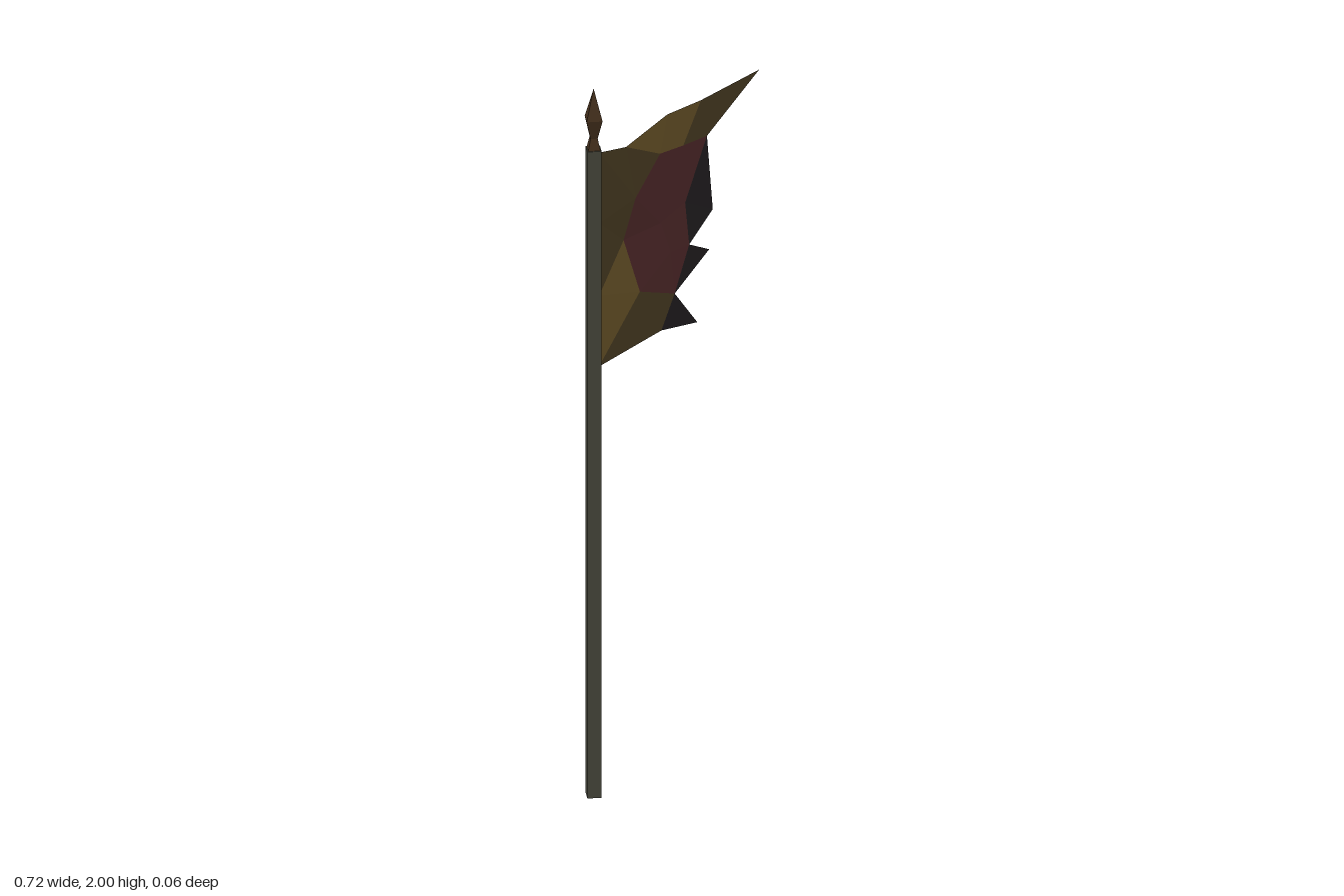
import * as THREE from 'three';

const POLE_X = -0.333;

function material(color, side = THREE.FrontSide) {
  const m = new THREE.MeshStandardMaterial({ color, side });
  m.flatShading = true;
  return m;
}

// Cloth corner points: torn outline first, then the inner creases
const POINTS = [
  [-0.31, 1.81, 0], [-0.19, 1.78, -0.006], [-0.02, 1.81, -0.004], [0.135, 1.79, -0.015],
  [0.357, 1.80, 0.002], [0.16, 1.68, -0.015], [0.165, 1.475, 0], [0.06, 1.415, 0.005],
  [0.145, 1.37, 0.004], [-0.02, 1.31, 0.02], [0.09, 1.185, 0.008], [-0.065, 1.22, 0.012],
  [-0.31, 1.205, 0], [-0.31, 1.405, 0], [-0.31, 1.61, 0],
  [-0.165, 1.63, 0.006], [-0.05, 1.71, -0.004], [0.06, 1.69, -0.014], [-0.2, 1.52, -0.006],
  [-0.06, 1.52, 0.006], [0.06, 1.53, -0.008], [-0.15, 1.36, 0.008], [-0.03, 1.43, 0.014],
];

// Facets of the cloth, grouped by colour
const PATCHES = [
  { name: 'goldCloth', color: 0x78602f,
    faces: [[1, 16, 2], [2, 16, 17], [2, 17, 3], [13, 21, 18], [13, 12, 21]] },
  { name: 'oliveCloth', color: 0x544528,
    faces: [[0, 14, 15], [0, 15, 1], [1, 15, 16], [3, 17, 5], [3, 5, 4], [14, 18, 15],
      [14, 13, 18], [12, 11, 21], [21, 11, 9]] },
  { name: 'maroonCloth', color: 0x5a2f30,
    faces: [[15, 18, 19], [15, 19, 16], [16, 19, 20], [16, 20, 17], [18, 21, 19], [21, 22, 19],
      [21, 9, 22], [19, 22, 20], [22, 7, 20], [9, 7, 22], [17, 20, 5]] },
  { name: 'charredCloth', color: 0x272325,
    faces: [[11, 10, 9], [9, 8, 7], [20, 7, 6], [20, 6, 5]] },
];

function patchGeometry(faces) {
  const g = new THREE.BufferGeometry();
  const positions = faces.flat().flatMap((i) => POINTS[i]);
  g.setAttribute('position', new THREE.Float32BufferAttribute(positions, 3));
  g.computeVertexNormals();
  return g;
}

export function createModel() {
  const group = new THREE.Group();

  // Square pole turned corner-forward
  const pole = new THREE.Mesh(new THREE.CylinderGeometry(0.026, 0.026, 1.83, 4), material(0x45453a));
  pole.name = 'pole';
  pole.position.set(POLE_X, 0.915, 0);
  group.add(pole);

  // Four-sided spear tip
  const profile = [[0.024, 1.825], [0.013, 1.862], [0.029, 1.915], [0, 2]]
    .map(([r, y]) => new THREE.Vector2(r, y));
  const finial = new THREE.Mesh(new THREE.LatheGeometry(profile, 4), material(0x432f1c));
  finial.name = 'spearTip';
  finial.position.x = POLE_X;
  group.add(finial);

  // Torn banner
  const banner = new THREE.Group();
  banner.name = 'banner';
  for (const { name, color, faces } of PATCHES) {
    const patch = new THREE.Mesh(patchGeometry(faces), material(color, THREE.DoubleSide));
    patch.name = name;
    banner.add(patch);
  }
  group.add(banner);

  return group;
}
